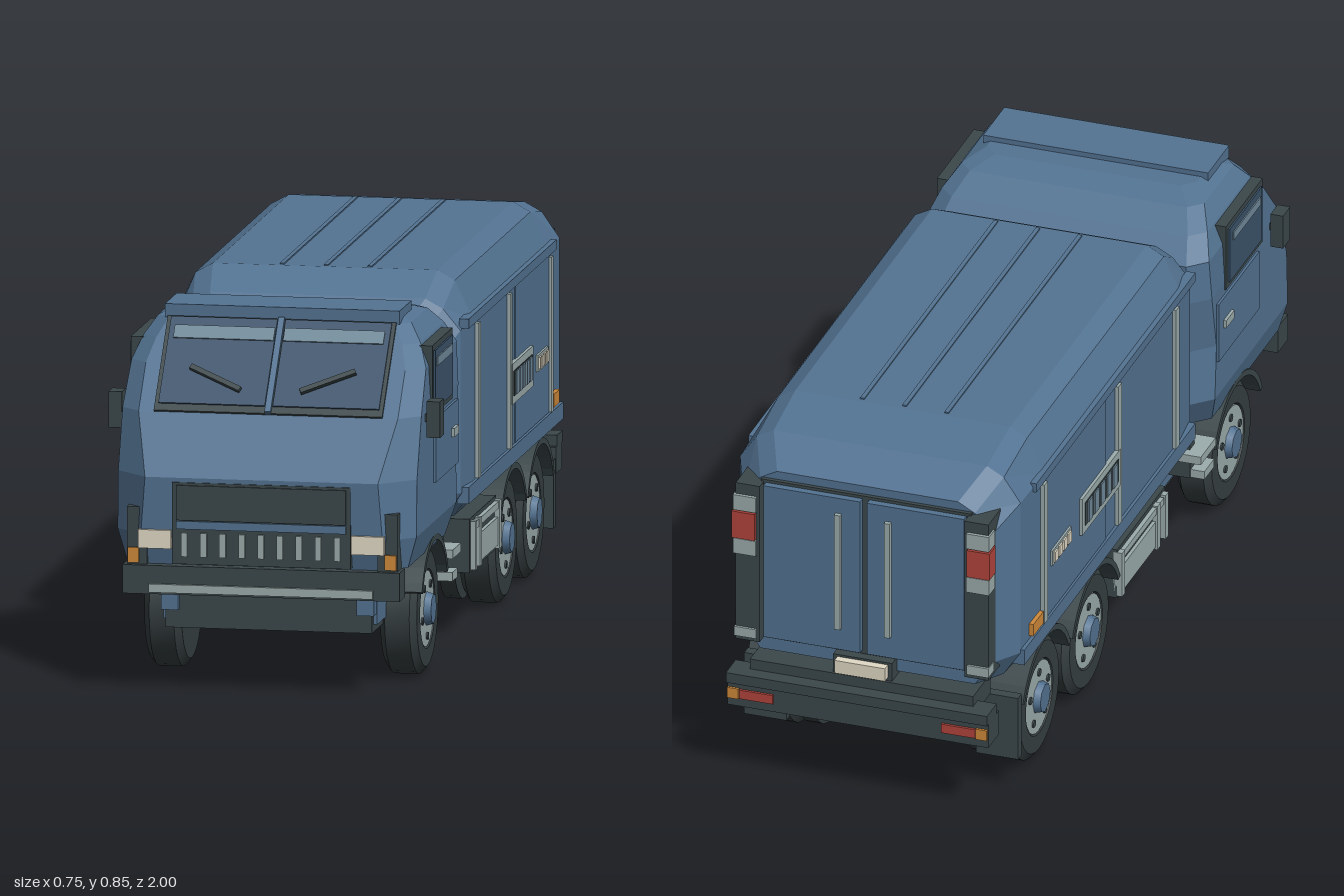
import * as THREE from 'three';
import { toCreasedNormals } from 'three/addons/utils/BufferGeometryUtils.js';

const colours = {
  bodyBlue: 0x537392, darkTrim: 0x3b474a, tyreRubber: 0x363f41, glass: 0x3b536b, glassStrip: 0x70899a,
  paleMetal: 0x9cacac, lampCream: 0xe2dac6, amber: 0xd08a3a, red: 0xb2443b,
};

// Flat-faced skin over closed rings of equal length, capped at both ends
function loft(rings) {
  const p = [], n = rings[0].length;
  const tri = (a, b, c) => p.push(...a, ...b, ...c);
  for (let i = 0; i < rings.length - 1; i++) for (let j = 0; j < n; j++) {
    const k = (j + 1) % n, a = rings[i][j], b = rings[i][k], c = rings[i + 1][k], d = rings[i + 1][j];
    tri(a, b, c); tri(a, c, d);
  }
  const first = rings[0], last = rings[rings.length - 1];
  for (let j = 1; j < n - 1; j++) { tri(first[0], first[j + 1], first[j]); tri(last[0], last[j], last[j + 1]); }
  const g = new THREE.BufferGeometry();
  g.setAttribute('position', new THREE.Float32BufferAttribute(p, 3));
  g.computeVertexNormals();
  return g;
}

export function createModel() {
  const truck = new THREE.Group();
  truck.name = 'truck';
  const M = {};
  for (const [name, color] of Object.entries(colours)) { M[name] = new THREE.MeshStandardMaterial({ color }); M[name].name = name; }

  const add = (name, geo, mat, parent = truck) => {
    const m = new THREE.Mesh(geo, mat);
    m.name = name;
    parent.add(m);
    return m;
  };
  // Box from its min and max on each axis
  const box = (name, mat, x0, x1, y0, y1, z0, z1, parent = truck) => {
    const m = add(name, new THREE.BoxGeometry(x1 - x0, y1 - y0, z1 - z0), mat, parent);
    m.position.set((x0 + x1) / 2, (y0 + y1) / 2, (z0 + z1) / 2);
    return m;
  };
  const pair = (name, mat, x0, x1, ...r) => {
    box(name, mat, x0, x1, ...r);
    box(name, mat, -x1, -x0, ...r);
  };
  const { bodyBlue, darkTrim, tyreRubber, glass, glassStrip, paleMetal, lampCream, amber, red } = M;

  // Cab: chamfered plan outlines stacked upwards [y, front, back, half width, chamfer]
  add('cab', loft([
    [0.29, 0.965, 0.42, 0.32, 0.05], [0.36, 0.985, 0.37, 0.34, 0.065], [0.49, 0.988, 0.37, 0.34, 0.075],
    [0.625, 0.905, 0.37, 0.34, 0.045], [0.72, 0.818, 0.37, 0.335, 0.04], [0.77, 0.772, 0.42, 0.315, 0.035],
    [0.81, 0.735, 0.48, 0.288, 0.03], [0.828, 0.7, 0.54, 0.25, 0.03],
  ].map(([y, f, b, w, c]) => [
    [c - w, y, f], [w - c, y, f], [w, y, f - c], [w, y, b + c],
    [w - c, y, b], [c - w, y, b], [-w, y, b + c], [-w, y, f - c],
  ])), bodyBlue);
  box('cabRoofPlate', bodyBlue, -0.267, 0.267, 0.81, 0.84, 0.595, 0.735);

  // Windscreen, lying on the sloped cab front
  const screen = new THREE.Group();
  screen.name = 'windscreen';
  screen.position.set(0, 0.7175, 0.82);
  screen.rotation.x = -0.743;
  truck.add(screen);
  box('windscreenFrame', darkTrim, -0.26, 0.26, -0.126, 0.126, -0.01, 0.006, screen);
  box('windscreenDivider', bodyBlue, -0.007, 0.007, -0.126, 0.126, 0, 0.014, screen);
  for (const s of [-1, 1]) {
    box('windscreenPane', glass, s * 0.13 - 0.121, s * 0.13 + 0.121, -0.108, 0.122, 0.004, 0.01, screen);
    box('windscreenStrip', glassStrip, s * 0.125 - 0.114, s * 0.125 + 0.114, 0.064, 0.098, 0.008, 0.013, screen);
    const wiper = box('wiper', darkTrim, s * 0.128 - 0.066, s * 0.128 + 0.066, -0.051, -0.039, 0.014, 0.024, screen);
    wiper.rotation.z = s * 0.45;
  }

  // Cab sides: door, window, handle and mirror
  pair('sideWindowFrame', darkTrim, 0.29, 0.343, 0.605, 0.765, 0.5, 0.745);
  pair('sideWindowPane', glass, 0.34, 0.347, 0.618, 0.752, 0.515, 0.73);
  pair('sideWindowStrip', glassStrip, 0.345, 0.35, 0.715, 0.735, 0.535, 0.715);
  pair('doorPanel', bodyBlue, 0.32, 0.346, 0.45, 0.595, 0.445, 0.715);
  pair('doorHandle', paleMetal, 0.34, 0.353, 0.522, 0.541, 0.475, 0.53);
  pair('mirrorArm', darkTrim, 0.32, 0.35, 0.605, 0.622, 0.8, 0.818);
  pair('mirror', darkTrim, 0.347, 0.377, 0.572, 0.654, 0.785, 0.833);

  // Front grille with slats, lamps and bumper
  box('grilleFrame', darkTrim, -0.203, 0.203, 0.295, 0.48, 0.95, 0.991);
  box('grilleUpperPanel', darkTrim, -0.193, 0.193, 0.395, 0.474, 0.98, 0.995);
  box('grilleBar', bodyBlue, -0.193, 0.193, 0.375, 0.393, 0.98, 0.995);
  for (let i = -4; i <= 4; i++) box('grilleSlat', paleMetal, i * 0.0435 - 0.007, i * 0.0435 + 0.007, 0.313, 0.367, 0.985, 0.998);
  pair('lampSurround', darkTrim, 0.262, 0.308, 0.29, 0.42, 0.92, 0.978);
  pair('headlight', lampCream, 0.205, 0.28, 0.329, 0.371, 0.95, 0.994);
  pair('frontIndicator', amber, 0.28, 0.306, 0.294, 0.328, 0.94, 0.984);
  box('frontBumper', darkTrim, -0.315, 0.315, 0.225, 0.29, 0.925, 0.992);
  box('frontBumperStrip', paleMetal, -0.255, 0.255, 0.23, 0.249, 0.98, 1.0);

  // Chassis
  box('chassis', darkTrim, -0.235, 0.235, 0.135, 0.3, -0.83, 0.9);
  pair('chassisRail', bodyBlue, 0.225, 0.243, 0.152, 0.27, -0.92, 0.88);
  pair('towBracket', bodyBlue, 0.203, 0.242, 0.177, 0.226, 0.87, 0.915);

  // Cargo body: cross-sections from back to front [z, half width, top, bottom]
  add('cargoBody', loft([
    [-0.925, 0.295, 0.765, 0.31], [-0.84, 0.333, 0.82, 0.3], [-0.69, 0.335, 0.845, 0.29],
    [0.22, 0.335, 0.845, 0.29], [0.31, 0.325, 0.795, 0.295], [0.38, 0.27, 0.715, 0.31],
  ].map(([z, w, t, b]) => {
    const shoulder = Math.min(0.74, t - 0.07);
    const half = [[w - 0.04, b], [w, b + 0.06], [w, shoulder], [w - 0.04, t - 0.022], [w - 0.08, t]];
    return [...half.map(([x, y]) => [x, y, z]), ...half.reverse().map(([x, y]) => [-x, y, z])];
  })), bodyBlue);
  for (const x of [-0.1, 0, 0.1]) box('roofRib', bodyBlue, x - 0.005, x + 0.005, 0.84, 0.848, -0.68, 0.21);

  // Cargo body sides
  pair('upperRail', bodyBlue, 0.32, 0.342, 0.728, 0.75, -0.76, 0.3);
  pair('lowerRail', bodyBlue, 0.315, 0.342, 0.33, 0.368, -0.84, 0.3);
  pair('sidePanel', bodyBlue, 0.325, 0.338, 0.37, 0.726, -0.7, -0.285);
  for (const z of [0.177, -0.207, -0.7]) pair('sideStrip', paleMetal, 0.325, 0.344, 0.37, 0.722, z - 0.011, z + 0.011);
  pair('ventFrame', paleMetal, 0.325, 0.345, 0.468, 0.56, -0.462, -0.208);
  pair('ventRecess', darkTrim, 0.34, 0.347, 0.486, 0.543, -0.446, -0.224);
  for (let i = 0; i < 5; i++) pair('ventBar', glassStrip, 0.342, 0.35, 0.488, 0.541, -0.417 + i * 0.041 - 0.013, -0.417 + i * 0.041 + 0.013);
  pair('sideLampFrame', paleMetal, 0.33, 0.343, 0.488, 0.526, -0.655, -0.53);
  for (let i = 0; i < 4; i++) pair('sideLamp', lampCream, 0.34, 0.347, 0.494, 0.52, -0.647 + i * 0.03, -0.627 + i * 0.03);
  pair('sideMarker', amber, 0.325, 0.344, 0.376, 0.406, -0.785, -0.718);

  // Rear doors, corner columns and lamps
  box('rearFrame', darkTrim, -0.25, 0.25, 0.345, 0.745, -0.935, -0.91);
  pair('rearDoor', bodyBlue, 0.008, 0.238, 0.355, 0.738, -0.952, -0.92);
  pair('doorBar', paleMetal, 0.052, 0.066, 0.41, 0.7, -0.963, -0.945);
  pair('rearColumn', darkTrim, 0.243, 0.3, 0.345, 0.74, -0.962, -0.88);
  pair('tailLight', red, 0.252, 0.306, 0.605, 0.672, -0.972, -0.93);
  for (const y of [0.675, 0.565]) pair('lampHousing', paleMetal, 0.25, 0.304, y, y + 0.038, -0.97, -0.93);
  pair('columnFoot', paleMetal, 0.25, 0.302, 0.355, 0.378, -0.968, -0.93);

  // Rear bumper
  box('rearStep', darkTrim, -0.265, 0.265, 0.25, 0.3, -0.965, -0.85);
  box('rearBumper', darkTrim, -0.31, 0.31, 0.19, 0.25, -0.99, -0.92);
  box('rearBumperLip', darkTrim, -0.31, 0.31, 0.25, 0.275, -1.0, -0.935);
  box('numberPlate', lampCream, -0.06, 0.06, 0.308, 0.34, -0.978, -0.955);
  box('plateBracket', darkTrim, -0.07, 0.07, 0.295, 0.345, -0.958, -0.9);
  pair('rearReflector', red, 0.2, 0.28, 0.212, 0.234, -0.996, -0.98);
  pair('rearIndicator', amber, 0.282, 0.308, 0.21, 0.236, -0.996, -0.98);

  // Side boxes, steps and mud flaps
  pair('equipmentBox', darkTrim, 0.22, 0.318, 0.15, 0.272, -0.155, 0.165);
  pair('equipmentBoxPanel', paleMetal, 0.31, 0.326, 0.162, 0.226, -0.15, 0.08);
  pair('equipmentBoxBar', paleMetal, 0.31, 0.328, 0.246, 0.262, -0.14, 0.13);
  for (const z of [0.145, 0.09, -0.145]) pair('equipmentBoxStrap', paleMetal, 0.31, 0.33, 0.155, 0.265, z - 0.01, z + 0.01);
  pair('stepBracket', darkTrim, 0.24, 0.3, 0.18, 0.3, 0.38, 0.41);
  pair('upperStep', paleMetal, 0.24, 0.335, 0.232, 0.252, 0.355, 0.455);
  pair('lowerStep', paleMetal, 0.24, 0.333, 0.18, 0.2, 0.385, 0.45);
  pair('mudFlap', darkTrim, 0.225, 0.325, 0.085, 0.24, -0.835, -0.81);

  // Wheels and arches
  const v = (x, y) => new THREE.Vector2(x, y);
  const tyre = toCreasedNormals(new THREE.LatheGeometry([
    v(0, -0.042), v(0.128, -0.042), v(0.147, -0.028), v(0.147, 0.028), v(0.13, 0.042), v(0.09, 0.042), v(0.084, 0.03),
  ], 28), 0.5);
  const rim = new THREE.CylinderGeometry(0.086, 0.086, 0.02, 24);
  const hub = new THREE.CylinderGeometry(0.034, 0.04, 0.02, 8);
  const bolt = new THREE.CylinderGeometry(0.009, 0.009, 0.008, 8);
  const innerTyre = new THREE.CylinderGeometry(0.14, 0.14, 0.036, 28);
  const arc = new THREE.Shape();
  arc.absarc(0, 0, 0.174, 0.13 * Math.PI, 0.87 * Math.PI, false);
  arc.absarc(0, 0, 0.16, 0.87 * Math.PI, 0.13 * Math.PI, true);
  const arch = new THREE.ExtrudeGeometry(arc, { depth: 0.095, bevelEnabled: false, curveSegments: 10 });
  arch.translate(0, 0, -0.0475);
  for (const z of [0.627, -0.32, -0.65]) for (const s of [-1, 1]) {
    const wheel = new THREE.Group();
    wheel.name = 'wheel';
    wheel.position.set(s * 0.268, 0.148, z);
    wheel.rotation.z = -s * Math.PI / 2;
    truck.add(wheel);
    add('tyre', tyre, tyreRubber, wheel);
    add('rim', rim, paleMetal, wheel).position.y = 0.03;
    add('hub', hub, bodyBlue, wheel).position.y = 0.046;
    for (let i = 0; i < 5; i++) {
      const a = i / 5 * Math.PI * 2;
      add('wheelBolt', bolt, darkTrim, wheel).position.set(Math.cos(a) * 0.062, 0.04, Math.sin(a) * 0.062);
    }
    if (z < 0) add('innerTyre', innerTyre, tyreRubber, wheel).position.y = -0.07;
    const a = add('wheelArch', arch, darkTrim);
    a.rotation.y = Math.PI / 2;
    a.position.set(s * 0.28, 0.143, z);
  }
  return truck;
}
